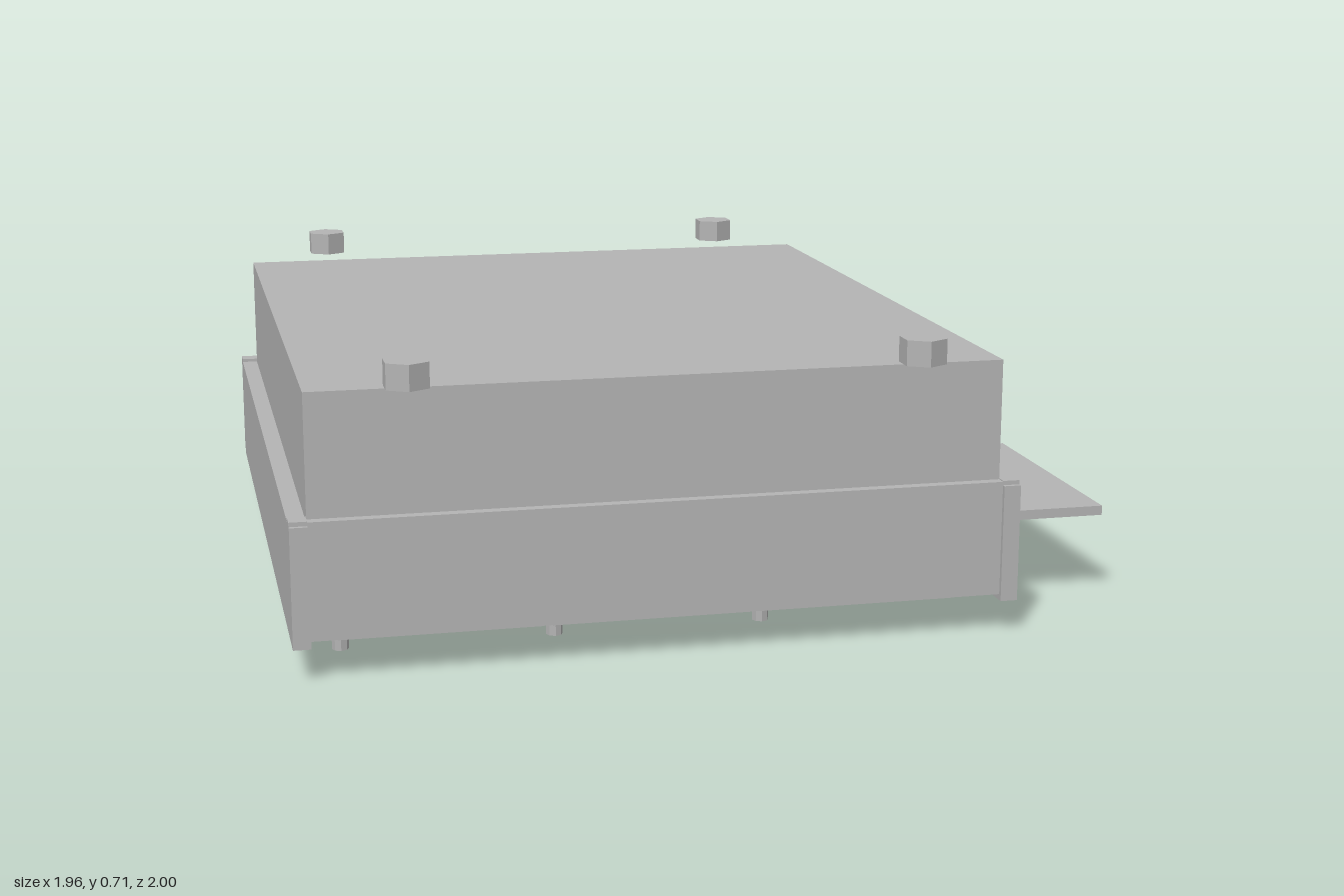
import * as THREE from 'three';

const grey = new THREE.MeshStandardMaterial({ color: 0xb4b4b4 });
grey.name = 'plain grey';

// Box given by its limits on each axis
function box(parent, name, x0, x1, y0, y1, z0, z1) {
  const mesh = new THREE.Mesh(new THREE.BoxGeometry(x1 - x0, y1 - y0, z1 - z0), grey);
  mesh.position.set((x0 + x1) / 2, (y0 + y1) / 2, (z0 + z1) / 2);
  mesh.name = name;
  parent.add(mesh);
  return mesh;
}

// Upright prism with flat sides
function prism(parent, name, x, z, y0, y1, radius, sides = 6) {
  const geometry = new THREE.CylinderGeometry(radius, radius, y1 - y0, sides).toNonIndexed();
  geometry.computeVertexNormals();
  const mesh = new THREE.Mesh(geometry, grey);
  mesh.position.set(x, (y0 + y1) / 2, z);
  mesh.name = name;
  parent.add(mesh);
  return mesh;
}

// One underside cell: raised rim, slatted panel, divider, pegs and knob
function createCell() {
  const cell = new THREE.Group();
  cell.name = 'cell';
  const w = 0.232, d = 0.185, t = 0.024;
  box(cell, 'cellFloor', -w, w, 0.075, 0.1, -d, d);
  for (const s of [-1, 1]) {
    const zMid = s * (d - t / 2);
    box(cell, 'rimLong', -w, w, 0.053, 0.08, zMid - t / 2, zMid + t / 2);
    const xMid = s * (w - t / 2);
    box(cell, 'rimShort', xMid - t / 2, xMid + t / 2, 0.053, 0.08, -d + t, d - t);
    prism(cell, 'peg', -0.225, s * 0.158, 0.025, 0.08, 0.019, 8);
  }
  // slats of the panel
  for (let i = 0; i < 5; i++) {
    const z = -0.115 + i * 0.0575;
    box(cell, 'slat', -0.19, 0.0, 0.045, 0.08, z - 0.017, z + 0.017);
  }
  box(cell, 'divider', 0.03, 0.054, 0.055, 0.08, -d + t, d - t);
  box(cell, 'knobArm', 0.054, w - t, 0.058, 0.08, 0.02, 0.045);
  prism(cell, 'knob', 0.158, -0.075, 0.011, 0.078, 0.052);
  prism(cell, 'knobTip', 0.158, -0.075, 0, 0.012, 0.026, 12);
  return cell;
}

export function createModel() {
  const model = new THREE.Group();
  model.name = 'boxUnit';

  // Main block
  box(model, 'upperBlock', -0.94, 0.64, 0.1, 0.64, -0.885, 0.88);

  // Surrounding tray walls
  box(model, 'backWall', -0.98, 0.68, 0.09, 0.36, -0.935, -0.89);
  box(model, 'frontWall', -0.94, 0.64, 0.092, 0.36, 0.86, 0.905);
  for (const [x0, x1] of [[-0.98, -0.94], [0.64, 0.68]]) {
    box(model, 'sideWall', x0, x1, 0.078, 0.352, -0.917, 0.915);
    box(model, 'cornerCap', x0, x1, 0.352, 0.362, 0.86, 0.905);
  }

  // Underside cells, three across and four deep
  for (let i = 0; i < 3; i++) {
    for (let j = 0; j < 4; j++) {
      const cell = createCell();
      cell.position.set(-0.64 + i * 0.486, 0, 0.605 - j * 0.407);
      model.add(cell);
    }
  }
  box(model, 'undersideLabel', -0.93, -0.89, 0.092, 0.1, -0.78, -0.62);

  // Hexagonal nuts floating above the corners
  for (const x of [-0.725, 0.425]) {
    for (const z of [-0.945, 0.943]) prism(model, 'nut', x, z, 0.655, 0.713, 0.054);
  }

  // Loose cover beside the box, ribbed underneath
  const cover = new THREE.Group();
  cover.name = 'looseCover';
  box(cover, 'coverPlate', 0.72, 0.98, 0.205, 0.228, 0.04, 0.695);
  box(cover, 'coverStep', 0.74, 0.96, 0.2, 0.206, 0.085, 0.65);
  for (let i = 0; i < 5; i++) {
    const z = 0.41 + i * 0.045;
    box(cover, 'coverRib', 0.755, 0.935, 0.194, 0.201, z - 0.011, z + 0.011);
  }
  model.add(cover);

  return model;
}
